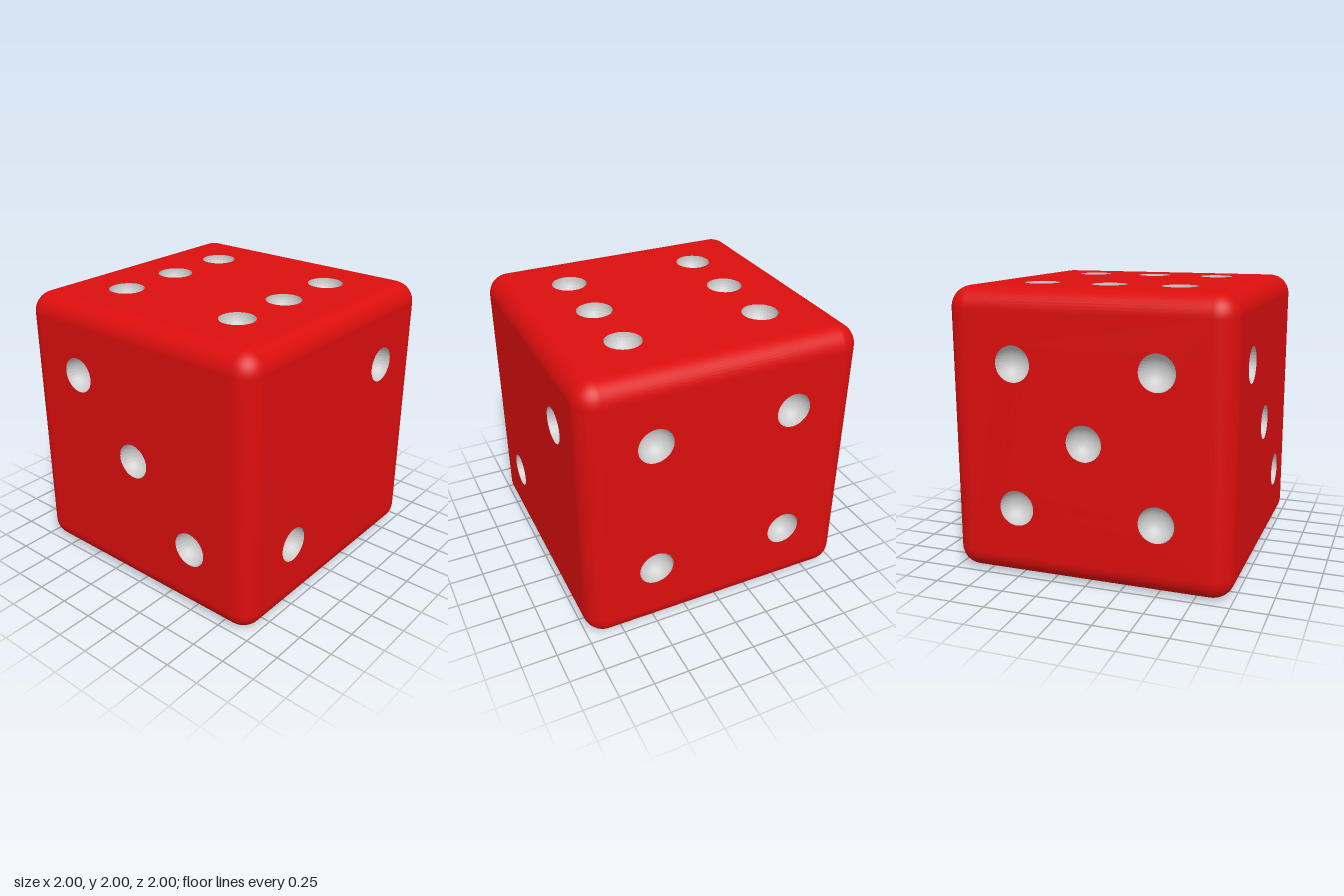
import * as THREE from 'three';
import { mergeGeometries } from 'three/addons/utils/BufferGeometryUtils.js';
import { RoundedBoxGeometry } from 'three/addons/geometries/RoundedBoxGeometry.js';

const EDGE = 0.15; // radius of the rounded edges
const PIP = 0.125; // radius of the hemispherical pips
const D = 0.5;     // pip spacing from the face centre

// Pip layouts in each face's own plane, with the turn that moves a +z face into place
const FACES = [
  { name: 'frontPips', turn: [0, 0], pips: [[-D, D], [0, 0], [D, -D]] },
  { name: 'rightPips', turn: [0, Math.PI / 2], pips: [[D, D], [-D, -D]] },
  { name: 'backPips', turn: [0, Math.PI], pips: [[-D, -D], [-D, D], [D, -D], [D, D]] },
  { name: 'leftPips', turn: [0, -Math.PI / 2], pips: [[-D, -D], [-D, D], [0, 0], [D, -D], [D, D]] },
  { name: 'topPips', turn: [-Math.PI / 2, 0], pips: [-D, 0, D].flatMap(y => [[-D, y], [D, y]]) },
  { name: 'bottomPips', turn: [Math.PI / 2, 0], pips: [[0, 0]] },
];

// Rounded edges and corners only: the six flat faces are dropped
function roundedFrame() {
  const box = new RoundedBoxGeometry(2, 2, 2, 6, EDGE);
  const source = box.index ? box.toNonIndexed() : box;
  const p = source.attributes.position.array, n = source.attributes.normal.array;
  const positions = [], normals = [];
  for (let i = 0; i < p.length; i += 9) {
    const flat = [0, 1, 2].some(a => [0, 3, 6].every(k => Math.abs(p[i + k + a]) > 0.9999));
    if (flat) continue;
    positions.push(...p.slice(i, i + 9));
    normals.push(...n.slice(i, i + 9));
  }
  const frame = new THREE.BufferGeometry();
  frame.setAttribute('position', new THREE.Float32BufferAttribute(positions, 3));
  frame.setAttribute('normal', new THREE.Float32BufferAttribute(normals, 3));
  return frame;
}

// Flat square with a round hole for each pip
function facePlate({ pips, turn }) {
  const h = 1 - EDGE;
  const shape = new THREE.Shape([[-h, -h], [h, -h], [h, h], [-h, h]].map(c => new THREE.Vector2(...c)));
  for (const [x, y] of pips) shape.holes.push(new THREE.Path().absarc(x, y, PIP, 0, Math.PI * 2, true));
  const plate = new THREE.ShapeGeometry(shape, 16).toNonIndexed();
  plate.deleteAttribute('uv');
  return plate.translate(0, 0, 1).rotateX(turn[0]).rotateY(turn[1]);
}

// Hollow half sphere, open towards +z, with its faces turned inwards
function pipBowl() {
  const bowl = new THREE.SphereGeometry(PIP, 32, 10, 0, Math.PI * 2, 0, Math.PI / 2);
  bowl.rotateX(Math.PI / 2).scale(1, 1, -1);
  bowl.computeVertexNormals();
  return bowl;
}

export function createModel() {
  const model = new THREE.Group();
  model.name = 'die';
  const cube = new THREE.Group();
  cube.position.y = 1;
  model.add(cube);

  // Body
  const red = new THREE.MeshStandardMaterial({ color: 0xdc0e0e });
  const body = new THREE.Mesh(mergeGeometries([roundedFrame(), ...FACES.map(facePlate)]), red);
  body.name = 'body';
  cube.add(body);

  // Pips
  const grey = new THREE.MeshStandardMaterial({ color: 0xcccccc, flatShading: true });
  const bowl = pipBowl();
  for (const { name, turn, pips } of FACES) {
    const group = new THREE.Group();
    group.name = name;
    group.rotation.set(turn[0], turn[1], 0);
    for (const [x, y] of pips) {
      const pip = new THREE.Mesh(bowl, grey);
      pip.name = 'pip';
      pip.position.set(x, y, 1);
      group.add(pip);
    }
    cube.add(group);
  }
  return model;
}
